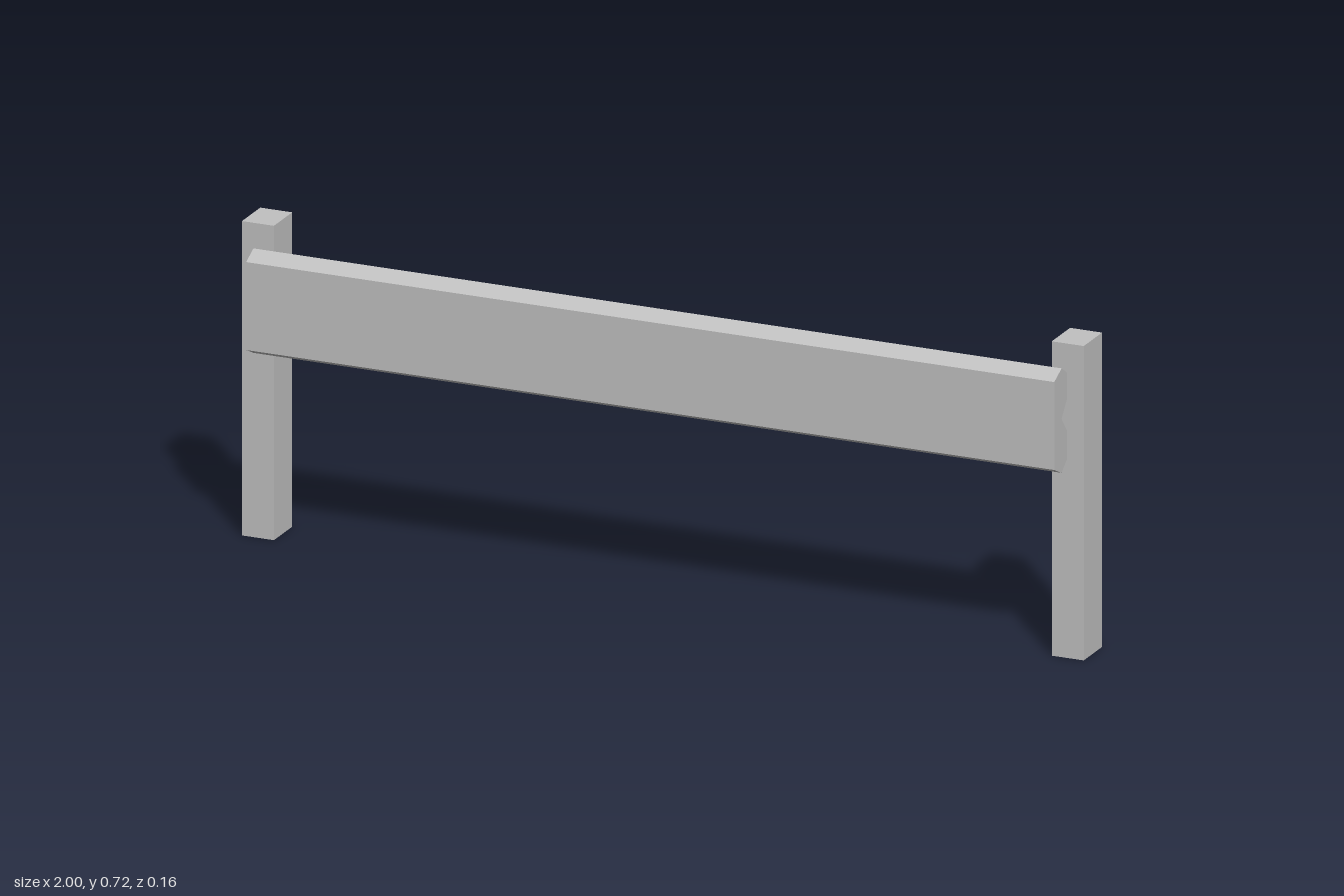
import * as THREE from 'three';

export function createModel() {
  const model = new THREE.Group();
  model.name = 'guardRail';
  const steel = new THREE.MeshStandardMaterial({ color: 0xc0c0c0 });
  steel.name = 'light grey steel';

  // Upright posts, mirrored left and right
  const postGeometry = new THREE.BoxGeometry(0.076, 0.722, 0.097);
  for (const [name, side] of [['leftPost', 1], ['rightPost', -1]]) {
    const post = new THREE.Mesh(postGeometry, steel);
    post.name = name;
    post.position.set(side * 0.962, 0.361, -0.0335);
    model.add(post);
  }

  // Rail cross-section as [z, y]: flat front, V-shaped groove along the back
  const profile = [
    [0.082, 0.453], [0.082, 0.655], [0.043, 0.674], [-0.017, 0.635],
    [0.043, 0.558], [-0.017, 0.481], [0.043, 0.434],
  ];
  const shape = new THREE.Shape(profile.map(([z, y]) => new THREE.Vector2(-z, y)));
  const length = 1.92;
  const railGeometry = new THREE.ExtrudeGeometry(shape, { depth: length, bevelEnabled: false });
  railGeometry.translate(0, 0, -length / 2);
  railGeometry.rotateY(Math.PI / 2); // run the rail along x
  const rail = new THREE.Mesh(railGeometry, steel);
  rail.name = 'rail';
  model.add(rail);

  return model;
}
